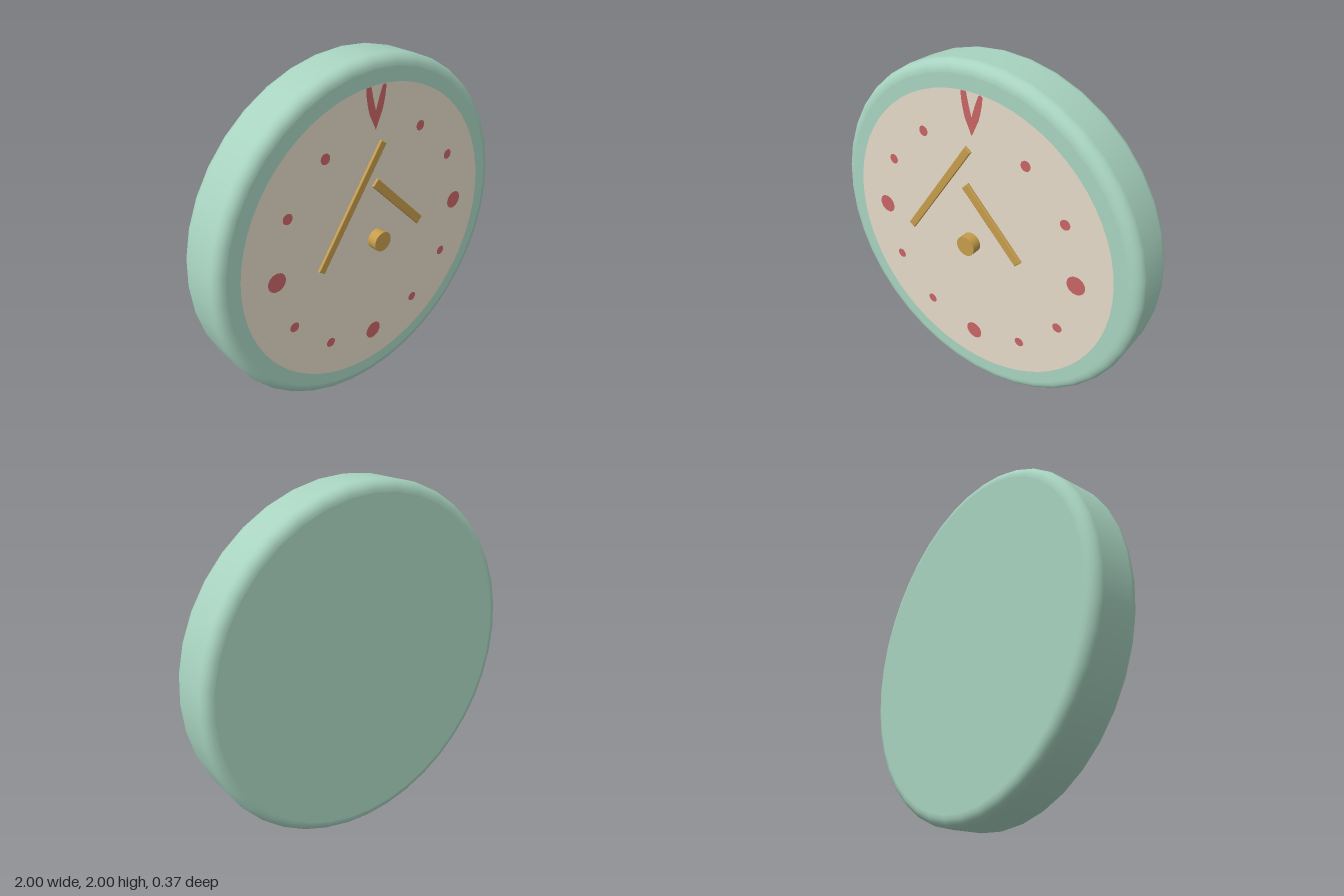
import * as THREE from 'three';

const mat = (name, color) => {
  const m = new THREE.MeshStandardMaterial({ color });
  m.name = name;
  return m;
};

export function createModel() {
  const clock = new THREE.Group();
  clock.name = 'wallClock';
  const mint = mat('mint', 0xa8d3c0);
  const cream = mat('cream', 0xe3d8c7);
  const red = mat('red', 0xc86464);
  const brass = mat('brass', 0xc59d4c);

  const BACK = -0.185, FRONT = 0.112, CENTRE = 1;
  const add = (name, geometry, material, x = 0, y = CENTRE, z = 0) => {
    const mesh = new THREE.Mesh(geometry, material);
    mesh.name = name;
    mesh.position.set(x, y, z);
    clock.add(mesh);
    return mesh;
  };

  // Round case with softened rims
  const bevel = 0.06, steps = 6;
  const profile = [[0, BACK], [1 - bevel - 0.005, BACK]];
  for (let i = 0; i <= steps; i++) {
    const a = (i / steps) * Math.PI / 2;
    profile.push([1 - bevel + bevel * Math.sin(a), BACK + bevel * (1 - Math.cos(a))]);
  }
  for (let i = 0; i <= steps; i++) {
    const a = (i / steps) * Math.PI / 2;
    profile.push([1 - bevel + bevel * Math.cos(a), FRONT - bevel * (1 - Math.sin(a))]);
  }
  profile.push([1 - bevel - 0.005, FRONT], [0, FRONT]);
  const caseGeometry = new THREE.LatheGeometry(profile.map(p => new THREE.Vector2(...p)), 40);
  caseGeometry.rotateX(Math.PI / 2);
  add('case', caseGeometry, mint);

  // Dial
  add('dial', new THREE.CircleGeometry(0.86, 64), cream, 0, CENTRE, FRONT + 0.002);

  // Hour dots: large at the quarters, small between, none at twelve
  for (let h = 1; h < 12; h++) {
    const a = (h / 12) * Math.PI * 2;
    add('hourDot' + h, new THREE.CircleGeometry(h % 3 ? 0.029 : 0.054, 24), red,
      0.655 * Math.sin(a), CENTRE + 0.655 * Math.cos(a), FRONT + 0.004);
  }

  // Forked marker at twelve
  const fork = new THREE.Shape();
  fork.moveTo(0, 0.63);
  fork.lineTo(0.043, 0.72);
  fork.quadraticCurveTo(0.068, 0.8, 0.068, 0.85);
  fork.quadraticCurveTo(0.055, 0.862, 0.043, 0.85);
  fork.quadraticCurveTo(0.018, 0.79, 0, 0.73);
  fork.quadraticCurveTo(-0.018, 0.79, -0.032, 0.858);
  fork.lineTo(-0.066, 0.857);
  fork.quadraticCurveTo(-0.066, 0.8, -0.043, 0.72);
  add('twelveMarker', new THREE.ShapeGeometry(fork), red, 0, CENTRE, FRONT + 0.004);

  // Bevelled bar running between two points
  const hand = (name, [x1, y1], [x2, y2], width, z) => {
    const b = 0.004, depth = 0.016;
    const l = Math.hypot(x2 - x1, y2 - y1) / 2 - b, w = width / 2 - b;
    const shape = new THREE.Shape([[-l, -w], [l, -w], [l, w], [-l, w]].map(p => new THREE.Vector2(...p)));
    const geometry = new THREE.ExtrudeGeometry(shape, {
      depth: depth - 2 * b, bevelThickness: b, bevelSize: b, bevelSegments: 2,
    });
    geometry.translate(0, 0, b - depth / 2);
    add(name, geometry, brass, (x1 + x2) / 2, (y1 + y2) / 2, z)
      .rotation.z = Math.atan2(y2 - y1, x2 - x1);
  };
  hand('minuteHand', [-0.412, 0.972], [0.012, 1.578], 0.043, 0.16);
  hand('hourHand', [-0.026, 1.353], [0.323, 1.0], 0.052, 0.143);

  // Centre hub
  const hub = new THREE.CylinderGeometry(0.058, 0.058, 0.058, 24);
  hub.rotateX(Math.PI / 2);
  add('hub', hub, brass, 0, CENTRE, 0.156);

  return clock;
}
